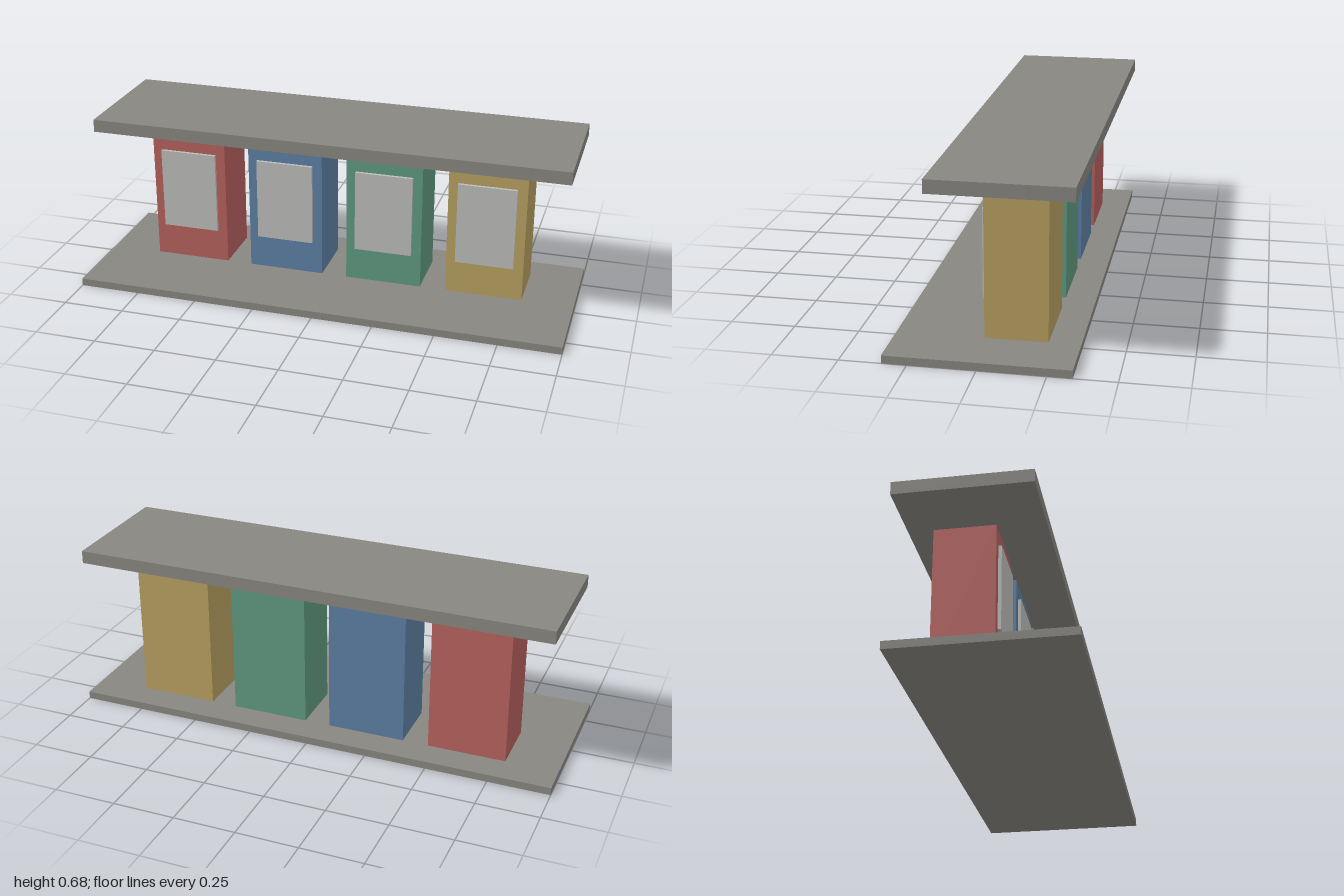
import * as THREE from 'three';

const paint = (name, color) => {
  const material = new THREE.MeshStandardMaterial({ color });
  material.name = name;
  return material;
};

// Box given by its lower and upper corners
function block(name, material, [x0, y0, z0], [x1, y1, z1]) {
  const mesh = new THREE.Mesh(new THREE.BoxGeometry(x1 - x0, y1 - y0, z1 - z0), material);
  mesh.position.set((x0 + x1) / 2, (y0 + y1) / 2, (z0 + z1) / 2);
  mesh.name = name;
  return mesh;
}

export function createModel() {
  const model = new THREE.Group();
  model.name = 'cabinetRow';

  const concrete = paint('concrete grey', 0x888680);
  const panel = paint('panel grey', 0xbcbcba);
  const cabinetPaints = [
    paint('red', 0xb5615d),
    paint('blue', 0x5c7fa3),
    paint('green', 0x5f9980),
    paint('ochre', 0xb79f60),
  ];

  // Floor slab and floating canopy, flush at the back
  model.add(block('floorSlab', concrete, [-1, 0, -0.342], [1, 0.031, 0.342]));
  model.add(block('canopy', concrete, [-0.972, 0.632, -0.342], [0.972, 0.684, 0.184]));

  // Four cabinets, each with a raised front panel
  cabinetPaints.forEach((material, i) => {
    const x = (i - 1.5) * 0.421;
    const cabinet = new THREE.Group();
    cabinet.name = 'cabinet' + (i + 1);
    cabinet.add(block('cabinetBody', material, [x - 0.158, 0.01, -0.223], [x + 0.158, 0.58, 0.013]));
    cabinet.add(block('frontPanel', panel, [x - 0.119, 0.172, 0.005], [x + 0.119, 0.514, 0.026]));
    model.add(cabinet);
  });

  return model;
}
